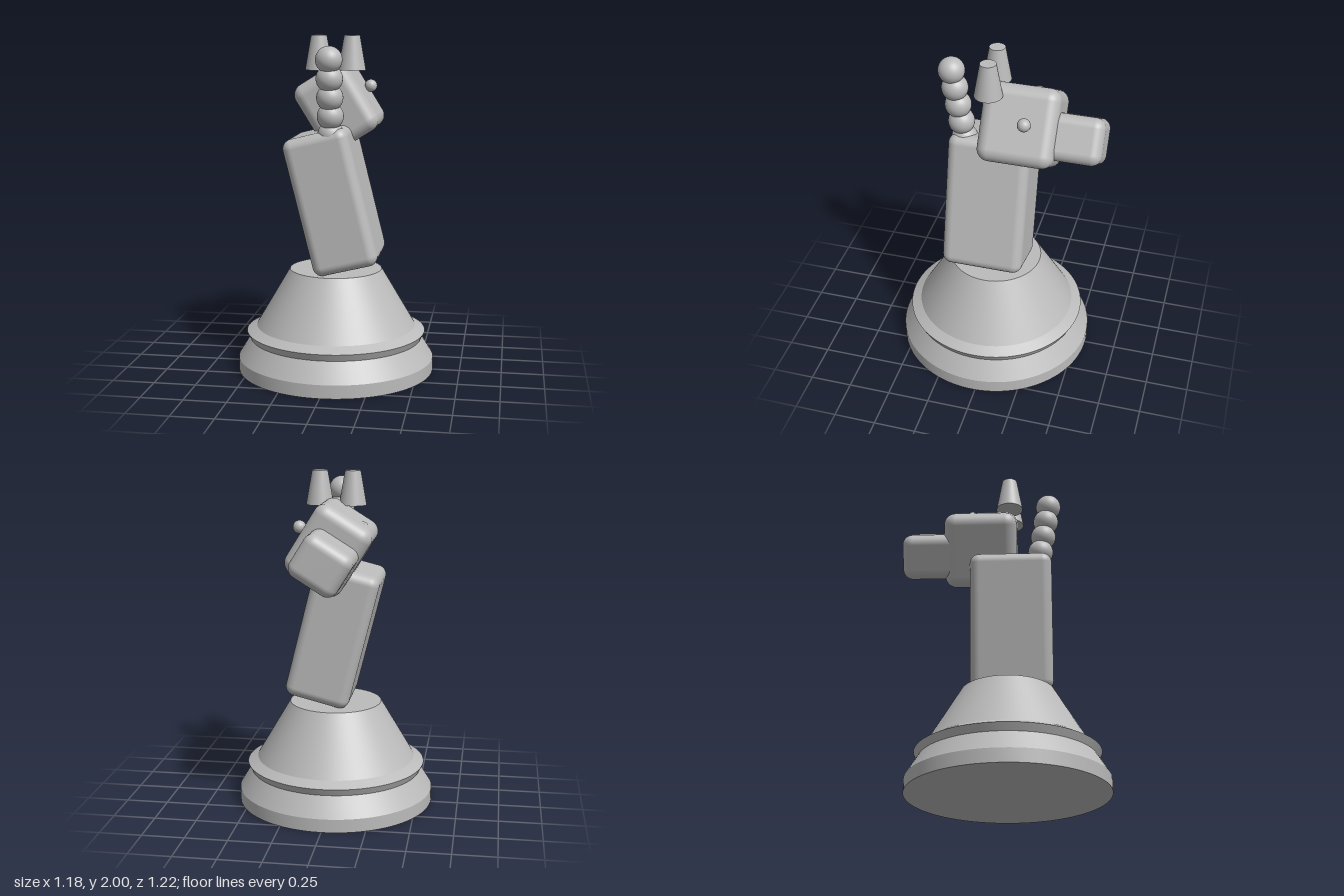
import * as THREE from 'three';
import { toCreasedNormals } from 'three/addons/utils/BufferGeometryUtils.js';
import { RoundedBoxGeometry } from 'three/addons/geometries/RoundedBoxGeometry.js';

export function createModel() {
  const group = new THREE.Group();
  const grey = new THREE.MeshStandardMaterial({ color: 0xbbbbbb });
  grey.name = 'stone grey';

  const add = (name, geometry, x, y, z, tilt = 0) => {
    const mesh = new THREE.Mesh(geometry, grey);
    mesh.name = name;
    mesh.position.set(x, y, z);
    mesh.rotation.z = tilt;
    group.add(mesh);
    return mesh;
  };

  // Turned pedestal with a collar, closed at both ends
  const profile = [
    [0, 0], [0.588, 0], [0.588, 0.08], [0.516, 0.197], [0.537, 0.24],
    [0.477, 0.273], [0.275, 0.616], [0, 0.616],
  ].map(([r, y]) => new THREE.Vector2(r, y));
  add('base', toCreasedNormals(new THREE.LatheGeometry(profile, 96), 0.5), 0, 0, 0.024);

  // Leaning neck, tilted head and muzzle
  const headTilt = 0.555;
  add('neck', new RoundedBoxGeometry(0.388, 0.82, 0.486, 6, 0.057), 0, 1.048, 0.05, 0.245);
  add('head', new RoundedBoxGeometry(0.368, 0.45, 0.44, 6, 0.07), 0, 1.578, -0.135, headTilt);
  add('muzzle', new RoundedBoxGeometry(0.304, 0.27, 0.42, 6, 0.06), 0, 1.537, -0.402, headTilt);

  // Ears and eyes in mirrored pairs
  const ear = new THREE.CylinderGeometry(0.046, 0.081, 0.2, 48);
  const eye = new THREE.SphereGeometry(0.038, 24, 16);
  for (const [side, s] of [['left', 1], ['right', -1]]) {
    add(side + 'Ear', ear, s * 0.097, 1.9, 0.041);
    add(side + 'Eye', eye, s * 0.18, 1.695, -0.182);
  }

  // Mane: a leaning stack of overlapping balls
  const ball = new THREE.SphereGeometry(0.077, 32, 20);
  for (let i = 0; i < 5; i++) {
    add('maneBall' + (i + 1), ball, 0, 1.44 + i * 0.1075, 0.211 + i * 0.0175);
  }

  return group;
}
